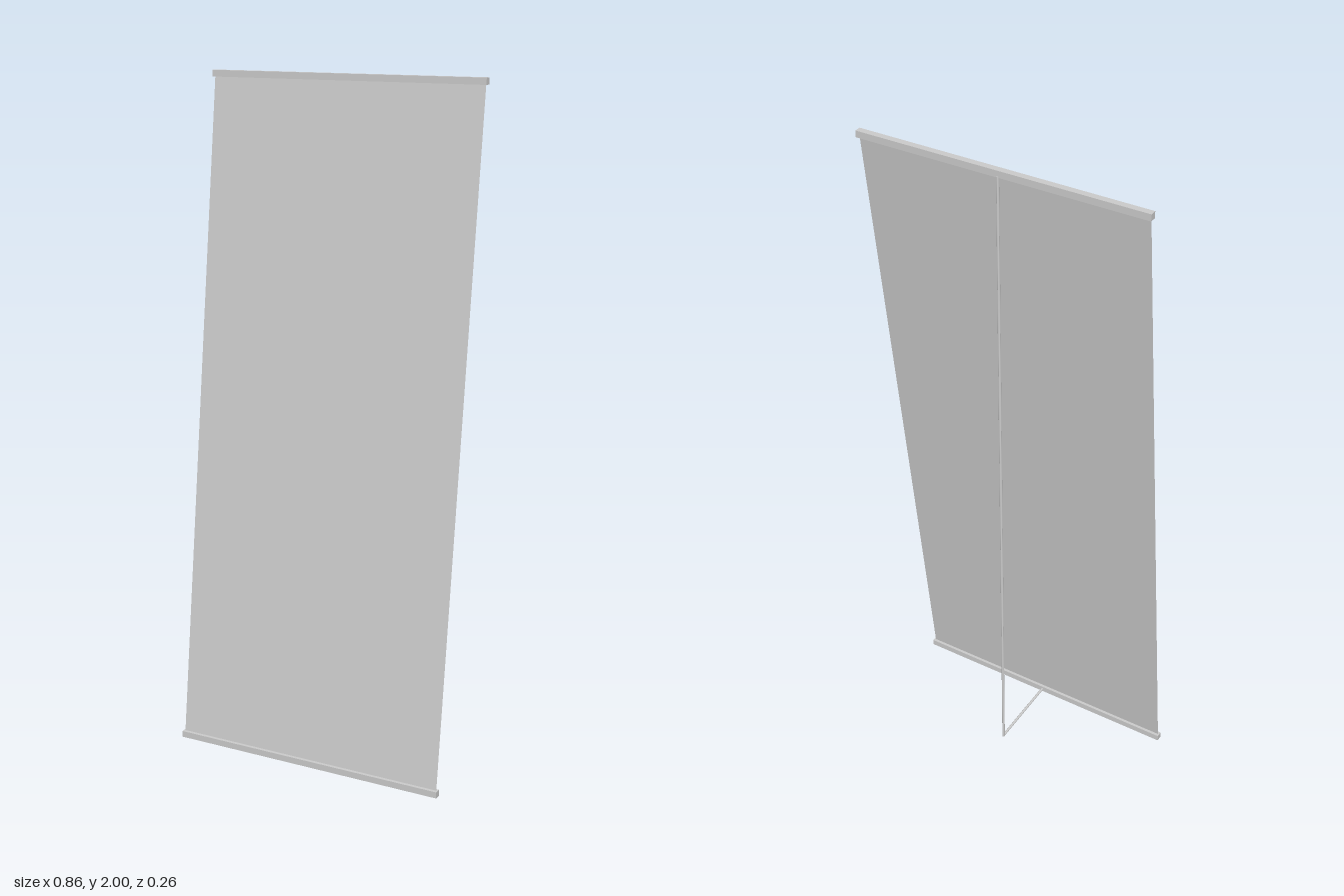
import * as THREE from 'three';

const grey = new THREE.MeshStandardMaterial({ color: 0xcccccc });
const sheetGrey = new THREE.MeshStandardMaterial({ color: 0xcccccc, side: THREE.DoubleSide });

export function createModel() {
  const group = new THREE.Group();
  group.name = 'bannerStand';

  const add = (name, geometry, x, y, z, material = grey) => {
    const mesh = new THREE.Mesh(geometry, material);
    mesh.name = name;
    mesh.position.set(x, y, z);
    group.add(mesh);
    return mesh;
  };

  // Clamp rails along the bottom front and top back
  const railWidth = 0.855, railSize = 0.019;
  add('bottomRail', new THREE.BoxGeometry(railWidth, railSize, railSize), 0, railSize / 2, 0.121);
  add('topRail', new THREE.BoxGeometry(railWidth, railSize, railSize), 0, 2 - railSize / 2, -0.121);

  // Thin sheet leaning back between the rails
  const bottom = new THREE.Vector2(0.121, 0.012);
  const top = new THREE.Vector2(-0.121, 1.988);
  const span = top.clone().sub(bottom);
  const sheet = add('bannerSheet', new THREE.PlaneGeometry(0.846, span.length()),
    0, (bottom.y + top.y) / 2, (bottom.x + top.x) / 2, sheetGrey);
  sheet.rotation.x = Math.atan2(span.x, span.y);

  // Upright pole behind the sheet
  const radius = 0.004, poleZ = -0.1285;
  const poleBottom = 0.004, poleTop = 1.985;
  add('supportPole', new THREE.CylinderGeometry(radius, radius, poleTop - poleBottom, 16),
    0, (poleBottom + poleTop) / 2, poleZ);

  // Foot bar on the floor joining the pole to the bottom rail
  const footFront = 0.121;
  const foot = add('footBar', new THREE.CylinderGeometry(radius, radius, footFront - poleZ, 16),
    0, 0.008, (footFront + poleZ) / 2);
  foot.rotation.x = Math.PI / 2;

  return group;
}
